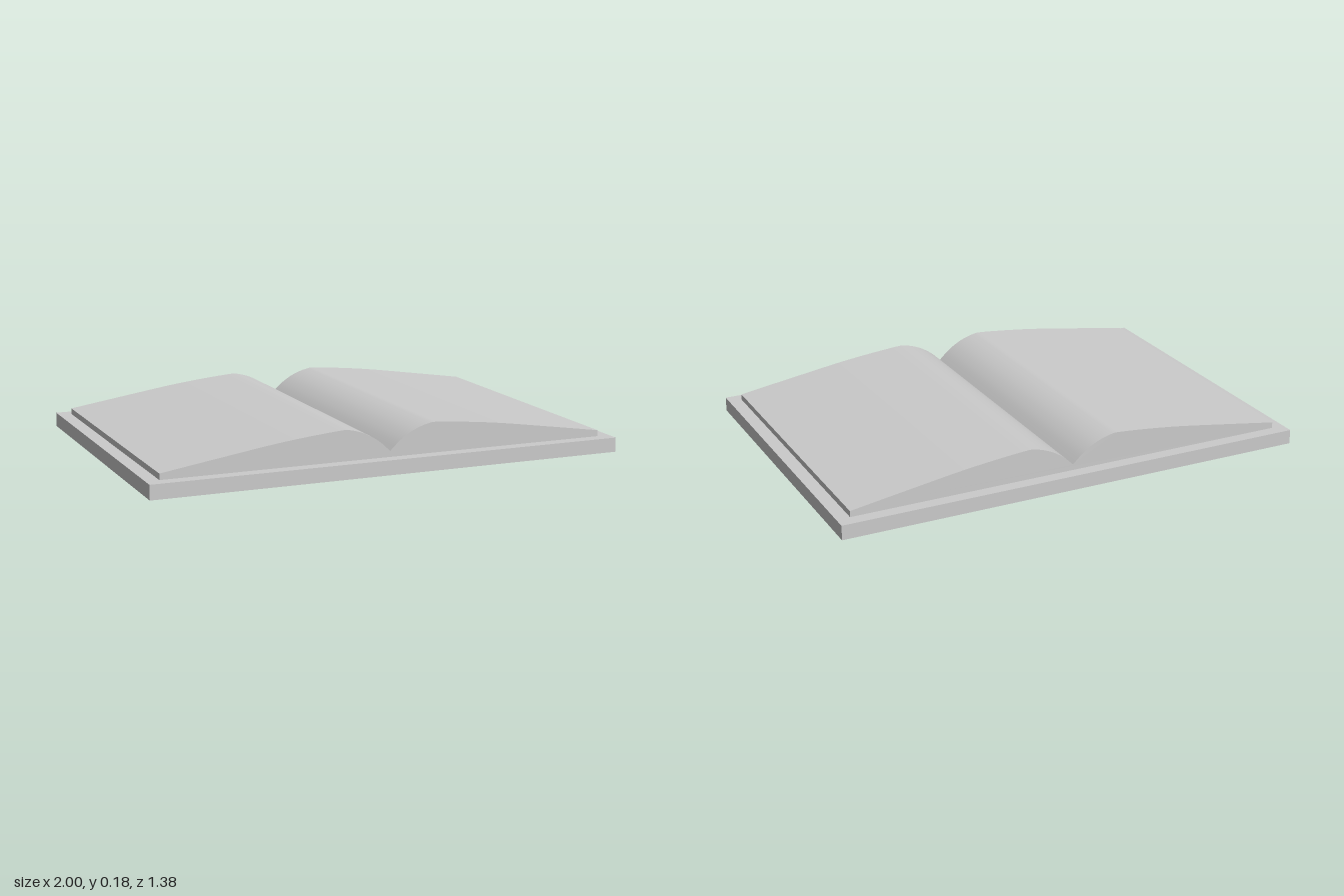
import * as THREE from 'three';
import { toCreasedNormals } from 'three/addons/utils/BufferGeometryUtils.js';

const COVER = { width: 2, height: 0.06, depth: 1.38 };
const PAGES = { halfWidth: 0.945, depth: 1.274 };

export function createModel() {
  const book = new THREE.Group();
  book.name = 'openBook';
  const material = new THREE.MeshStandardMaterial({ color: 0xcccccc });

  // Flat cover board lying open
  const cover = new THREE.Mesh(new THREE.BoxGeometry(COVER.width, COVER.height, COVER.depth), material);
  cover.name = 'cover';
  cover.position.y = COVER.height / 2;
  book.add(cover);

  // Upper curve of one page half, from the gutter to the outer edge
  const half = new THREE.SplineCurve([
    [0, 0.084], [0.045, 0.125], [0.1, 0.159], [0.165, 0.181], [0.225, 0.183],
    [0.45, 0.16], [0.7, 0.123], [PAGES.halfWidth, 0.085],
  ].map(([x, y]) => new THREE.Vector2(x, y))).getPoints(28);

  // Mirror the half into one closed cross-section
  const mirrored = half.slice(1).map((p) => new THREE.Vector2(-p.x, p.y));
  const outline = [
    new THREE.Vector2(-PAGES.halfWidth, COVER.height),
    new THREE.Vector2(PAGES.halfWidth, COVER.height),
    ...half.slice().reverse(),
    ...mirrored,
  ];

  // Page block: smooth on the curved leaves, sharp at the gutter and edges
  const block = new THREE.ExtrudeGeometry(new THREE.Shape(outline), { depth: PAGES.depth, bevelEnabled: false });
  block.translate(0, 0, -PAGES.depth / 2);
  const pages = new THREE.Mesh(toCreasedNormals(block, Math.PI / 5), material);
  pages.name = 'pages';
  book.add(pages);

  return book;
}
